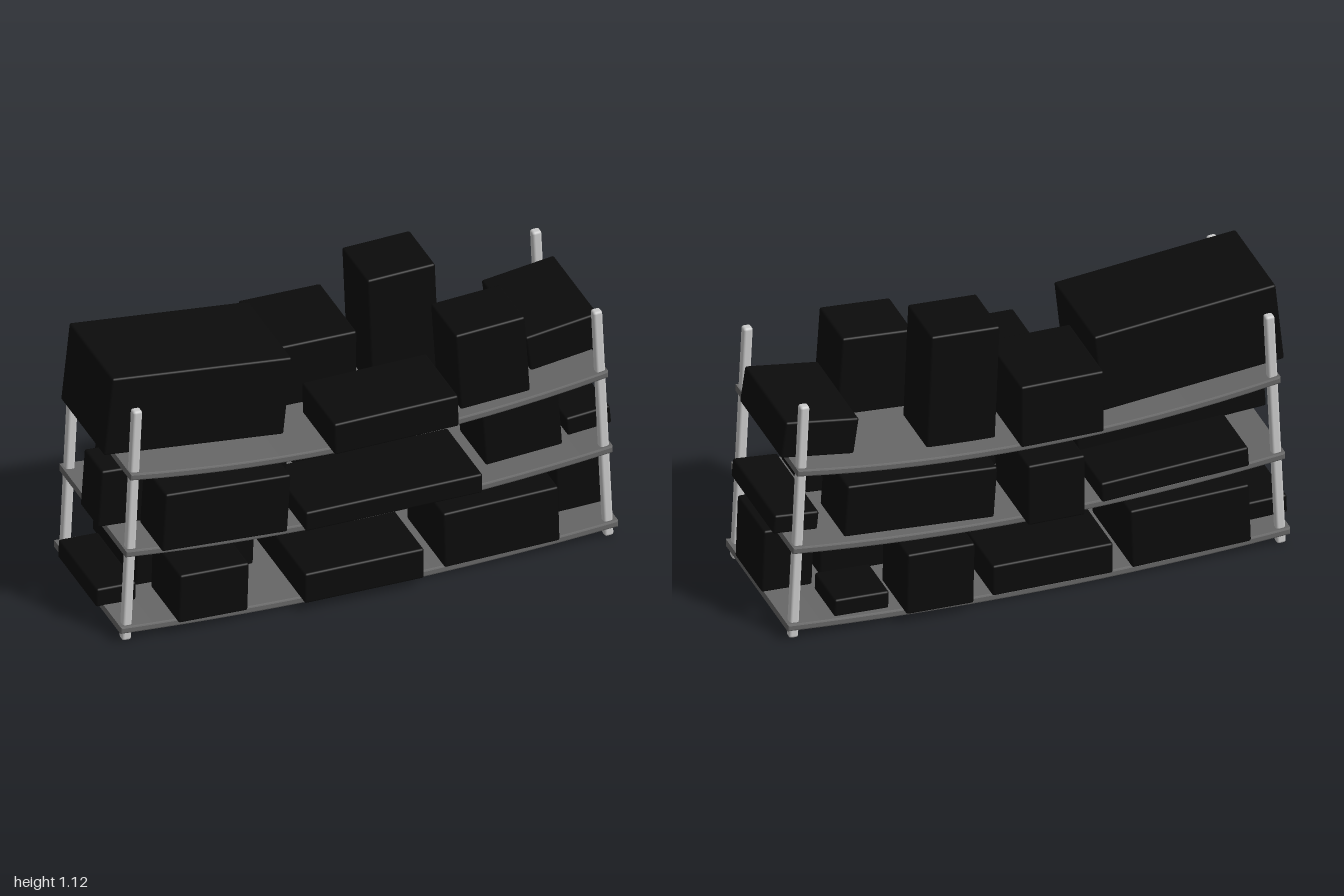
import * as THREE from 'three';
import { RoundedBoxGeometry } from 'three/addons/geometries/RoundedBoxGeometry.js';

const metal = new THREE.MeshStandardMaterial({ color: 0xcccccc });
const boardGrey = new THREE.MeshStandardMaterial({ color: 0x666666 });
const black = new THREE.MeshStandardMaterial({ color: 0x0b0b0b });

// Sagging shelf board: a curved strip extruded along z with a small bevel
function sagBoard(halfWidth, yEnd, yMid) {
  const bevel = 0.006, half = 0.014 - bevel, w = halfWidth - bevel, n = 16;
  const z0 = -0.31, z1 = 0.338;
  const pts = [];
  const add = (i, side) => {
    const t = -1 + (2 * i) / n;
    pts.push(new THREE.Vector2(t * w, yMid + (yEnd - yMid) * t * t + side * half));
  };
  for (let i = 0; i <= n; i++) add(i, -1);
  for (let i = n; i >= 0; i--) add(i, 1);
  const geo = new THREE.ExtrudeGeometry(new THREE.Shape(pts), {
    depth: z1 - z0 - 2 * bevel, bevelEnabled: true,
    bevelSize: bevel, bevelThickness: bevel, bevelSegments: 2,
  });
  geo.translate(0, 0, z0 + bevel);
  return new THREE.Mesh(geo, boardGrey);
}

// Carton: centre x, y, size w, h, z range, tilt about z
function carton([x, y, w, h, z0, z1, tilt]) {
  const mesh = new THREE.Mesh(new RoundedBoxGeometry(w, h, z1 - z0, 2, 0.008), black);
  mesh.position.set(x, y, (z0 + z1) / 2);
  mesh.rotation.z = tilt;
  return mesh;
}

const cartons = {
  bottomCarton: [
    [-0.92, 0.103, 0.155, 0.075, -0.2, 0.17, -0.03],
    [-0.575, 0.175, 0.46, 0.24, -0.335, 0.08, -0.035],
    [-0.62, 0.155, 0.27, 0.2, 0.1, 0.37, -0.03],
    [-0.043, 0.105, 0.465, 0.125, -0.335, 0.395, 0],
    [0.397, 0.17, 0.26, 0.25, -0.355, -0.1, 0.02],
    [0.505, 0.165, 0.45, 0.23, 0.0, 0.362, 0.025],
    [0.685, 0.1, 0.21, 0.07, -0.31, -0.1, 0.03],
    [0.88, 0.2, 0.195, 0.255, -0.07, 0.205, 0.035],
  ],
  middleCarton: [
    [-0.62, 0.5, 0.73, 0.235, 0.0, 0.17, -0.066],
    [-0.58, 0.5, 0.49, 0.24, 0.175, 0.393, -0.06],
    [-0.515, 0.405, 0.57, 0.08, -0.335, -0.08, -0.06],
    [-0.035, 0.475, 0.22, 0.25, -0.395, -0.05, 0],
    [0.075, 0.388, 0.69, 0.08, 0.05, 0.39, 0.005],
    [0.455, 0.48, 0.58, 0.21, -0.305, -0.055, 0.066],
    [0.622, 0.505, 0.3, 0.225, 0.018, 0.272, 0.07],
    [0.905, 0.44, 0.172, 0.075, -0.22, 0.215, 0.09],
  ],
  topCarton: [
    [-0.614, 0.852, 0.705, 0.32, -0.215, 0.202, -0.105],
    [-0.08, 0.775, 0.32, 0.255, -0.337, 0.017, -0.005],
    [0.085, 0.715, 0.485, 0.13, 0.075, 0.388, 0.02],
    [0.263, 0.878, 0.265, 0.47, -0.23, 0.018, 0.04],
    [0.497, 0.83, 0.272, 0.32, 0.057, 0.298, 0.065],
    [0.817, 0.785, 0.285, 0.147, -0.232, 0.195, 0.14],
  ],
};

export function createModel() {
  const group = new THREE.Group();

  // Three bowed shelf boards: half width, end height, middle height
  const boards = {
    bottomShelf: [0.97, 0.057, 0.02],
    middleShelf: [0.95, 0.379, 0.326],
    topShelf: [0.932, 0.703, 0.63],
  };
  for (const [name, args] of Object.entries(boards)) {
    const board = sagBoard(...args);
    board.name = name;
    group.add(board);
  }

  // Four posts, leaning inward at the top
  for (const side of [-1, 1]) {
    for (const z of [0.307, -0.278]) {
      const post = new THREE.Mesh(new RoundedBoxGeometry(0.036, 0.968, 0.036, 2, 0.01), metal);
      post.position.set(side * 0.919, 0.486, z);
      post.rotation.z = side * 0.046;
      post.name = (side > 0 ? 'left' : 'right') + (z > 0 ? 'FrontPost' : 'BackPost');
      group.add(post);
    }
  }

  // Cartons resting on each shelf
  for (const [name, list] of Object.entries(cartons)) {
    list.forEach((spec, i) => {
      const mesh = carton(spec);
      mesh.name = name + (i + 1);
      group.add(mesh);
    });
  }
  return group;
}
